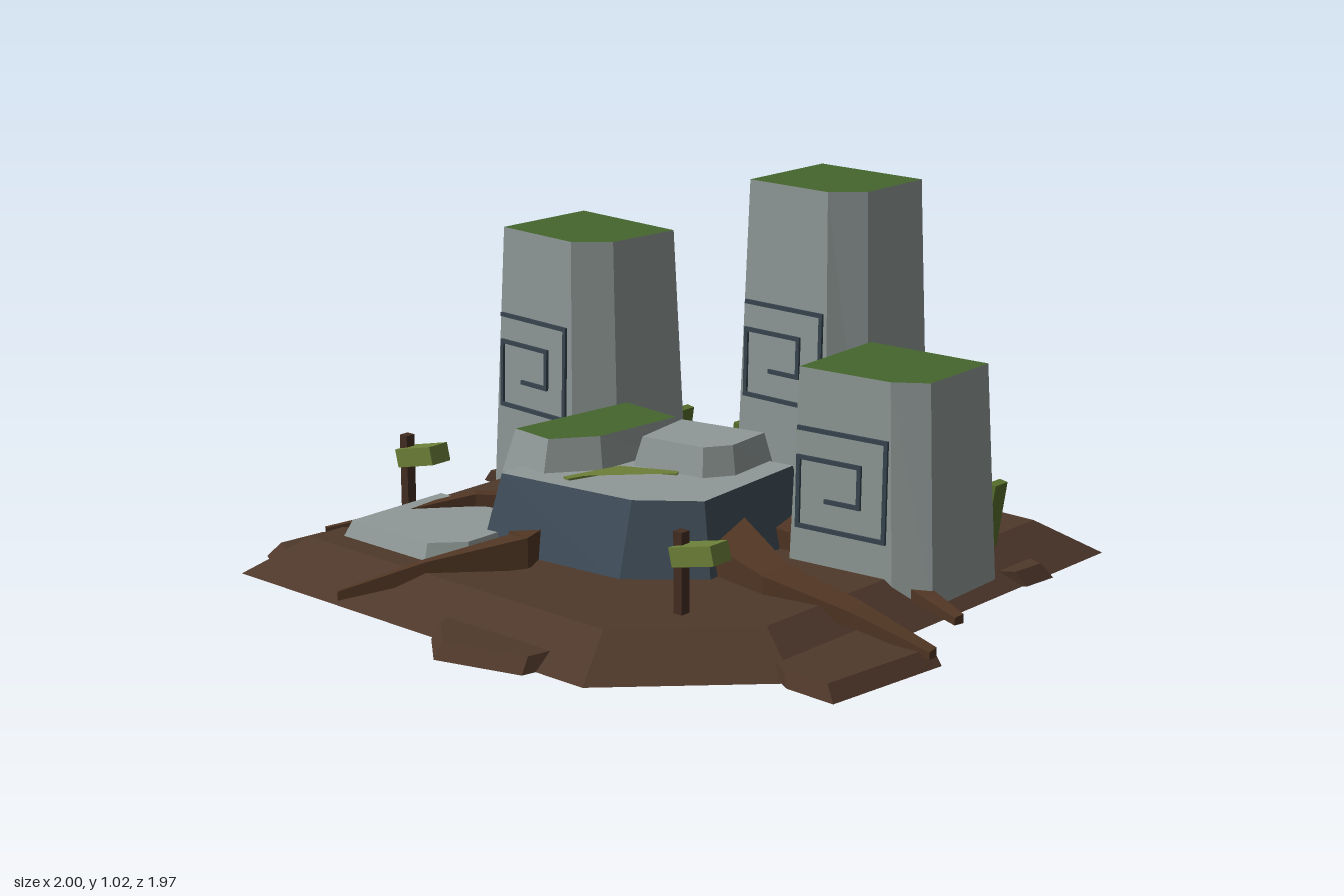
import * as THREE from 'three';

const mat = (name, color) => {
  const m = new THREE.MeshStandardMaterial({ color });
  m.name = name;
  return m;
};

// Loft through closed rings of points (wound so sides face outward), capped at both ends.
// Material group 0 is sides and first cap, group 1 the last cap.
function loft(rings) {
  const out = [], n = rings[0].length;
  const tri = (...pts) => pts.forEach(p => out.push(...p));
  for (let r = 0; r < rings.length - 1; r++) {
    const b = rings[r], t = rings[r + 1];
    for (let i = 0; i < n; i++) {
      const j = (i + 1) % n;
      tri(b[i], t[i], t[j]);
      tri(b[i], t[j], b[j]);
    }
  }
  const first = rings[0], last = rings[rings.length - 1];
  for (let i = 1; i < n - 1; i++) tri(first[0], first[i], first[i + 1]);
  const split = out.length / 3;
  for (let i = 1; i < n - 1; i++) tri(last[0], last[i + 1], last[i]);
  const g = new THREE.BufferGeometry();
  g.setAttribute('position', new THREE.Float32BufferAttribute(out, 3));
  g.addGroup(0, split, 0);
  g.addGroup(split, out.length / 3 - split, 1);
  g.computeVertexNormals();
  return g;
}

// Tapered block between a bottom outline and a top outline of [x, z] points.
function block(bottom, top, y0, y1) {
  const area = bottom.reduce((s, [x, z], i) => {
    const [u, v] = bottom[(i + 1) % bottom.length];
    return s + x * v - u * z;
  }, 0);
  const ring = (poly, y) => {
    const pts = poly.map(([x, z]) => [x, y, z]);
    return area < 0 ? pts.reverse() : pts;
  };
  return loft([ring(bottom, y0), ring(top, y1)]);
}

// Four-sided root along points [x, y, z, half width]; y is its upper surface.
function root(path) {
  return loft(path.map(([x, y, z, w], i) => {
    const a = path[Math.max(i - 1, 0)], b = path[Math.min(i + 1, path.length - 1)];
    const dx = b[0] - a[0], dz = b[2] - a[2], l = Math.hypot(dx, dz);
    const sx = -dz / l * w, sz = dx / l * w, h = w * 1.7;
    return [[x - sx, y, z - sz], [x + sx, y - w * 0.35, z + sz],
      [x + sx, y - h, z + sz], [x - sx, y - h, z - sz]].reverse();
  }));
}

export function createModel() {
  const model = new THREE.Group();
  const earth = mat('earth', 0x4f382b), bark = mat('bark', 0x513624), post = mat('postWood', 0x442e22);
  const stone = mat('stone', 0x8f9997), slate = mat('slate', 0x3f4d59), carving = mat('carving', 0x37444f);
  const grass = mat('grass', 0x45662d), olive = mat('olive', 0x6d8038), stalk = mat('stalk', 0x58702c);
  const add = (name, geo, m, parent = model) => {
    const mesh = new THREE.Mesh(geo, m);
    mesh.name = name;
    parent.add(mesh);
    return mesh;
  };

  // Ground with one cut corner
  add('ground', block(
    [[-0.87, -0.86], [0.8, -0.86], [0.8, 0.5], [0.43, 0.87], [-0.87, 0.87]],
    [[-0.74, -0.72], [0.66, -0.72], [0.66, 0.44], [0.37, 0.73], [-0.74, 0.73]], 0, 0.1), [earth, earth]);

  // Low shelves of earth around the rim
  [
    [[-0.93, -0.48], [-0.78, -0.45], [-0.78, -0.16], [-1, -0.19]],
    [[-0.5, -0.81], [-0.27, -0.99], [-0.13, -0.95], [-0.085, -0.85], [-0.1, -0.78]],
    [[0.74, 0.13], [1, 0.16], [0.96, 0.545], [0.81, 0.54], [0.7, 0.48]],
    [[-0.12, 0.82], [-0.1, 0.88], [0.015, 0.98], [0.26, 0.91], [0.28, 0.82]],
    [[-0.92, 0.58], [-0.82, 0.51], [-0.82, 0.79], [-0.935, 0.725]],
    [[0.76, -0.61], [0.82, -0.59], [0.81, -0.48], [0.75, -0.44]],
  ].forEach(poly => add('earthShelf', block(poly,
    poly.map(([x, z]) => [x * 0.965, z * 0.965]), 0, 0.04), [earth, earth]));

  // Stone pillars: outlines run back left, back right, chamfer, chamfer, front left
  const pillars = [
    { h: 0.83, mark: 0.57,
      b: [[-0.83, -0.465], [-0.39, -0.435], [-0.405, -0.155], [-0.505, -0.065], [-0.845, -0.085]],
      t: [[-0.8, -0.43], [-0.41, -0.4], [-0.43, -0.165], [-0.52, -0.085], [-0.81, -0.105]] },
    { h: 1.02, mark: 0.67,
      b: [[-0.14, -0.735], [0.28, -0.735], [0.28, -0.455], [0.195, -0.365], [-0.14, -0.365]],
      t: [[-0.11, -0.71], [0.25, -0.71], [0.25, -0.465], [0.17, -0.39], [-0.11, -0.39]] },
    { h: 0.635, mark: 0.47,
      b: [[0.335, -0.37], [0.76, -0.4], [0.775, -0.1], [0.685, -0.04], [0.36, -0.005]],
      t: [[0.36, -0.35], [0.735, -0.375], [0.745, -0.11], [0.66, -0.05], [0.38, -0.02]] },
  ];
  // Square spiral, as right and down offsets from its upper left corner
  const spiral = [[0, 0], [0.27, 0], [0.27, 0.27], [0, 0.27], [0, 0.08], [0.19, 0.08], [0.19, 0.19], [0.09, 0.19]];
  for (const { h, mark, b, t } of pillars) {
    add('pillar', block(b, t, 0.03, h), [stone, grass]);
    const k = (mark - 0.03) / (h - 0.03);
    const at = (i, f) => new THREE.Vector3(
      THREE.MathUtils.lerp(b[i][0], t[i][0], f), 0.03 + (h - 0.03) * f, THREE.MathUtils.lerp(b[i][1], t[i][1], f));
    const u = at(3, k).sub(at(4, k)).normalize();
    const n = u.clone().cross(at(4, 1).sub(at(4, 0))).normalize();
    const v = n.clone().cross(u);
    const carved = new THREE.Group();
    carved.name = 'spiralCarving';
    carved.applyMatrix4(new THREE.Matrix4().makeBasis(u, v, n)
      .setPosition(at(4, k).addScaledVector(u, 0.012).addScaledVector(n, 0.003)));
    for (let i = 0; i < spiral.length - 1; i++) {
      const [x0, y0] = spiral[i], [x1, y1] = spiral[i + 1];
      add('carvedLine', new THREE.BoxGeometry(Math.abs(x1 - x0) + 0.012, Math.abs(y1 - y0) + 0.012, 0.009), carving, carved)
        .position.set((x0 + x1) / 2, -(y0 + y1) / 2, 0);
    }
    model.add(carved);
  }

  // Central platform and the blocks on it
  add('platform', block(
    [[-0.405, -0.14], [0.28, -0.215], [0.325, 0.27], [0.14, 0.43], [-0.33, 0.475]],
    [[-0.36, -0.1], [0.24, -0.165], [0.275, 0.24], [0.125, 0.36], [-0.305, 0.415]], 0.08, 0.3), [slate, stone]);
  add('mossyBlock', block(
    [[-0.33, -0.135], [-0.1, -0.11], [-0.115, 0.215], [-0.215, 0.35], [-0.39, 0.33]],
    [[-0.32, -0.1], [-0.115, -0.08], [-0.14, 0.2], [-0.225, 0.315], [-0.365, 0.3]], 0.27, 0.39), [stone, grass]);
  add('smallBlock', block(
    [[-0.135, -0.115], [0.165, -0.17], [0.185, 0.01], [0.135, 0.09], [-0.09, 0.125]],
    [[-0.11, -0.1], [0.15, -0.15], [0.165, 0.0], [0.12, 0.07], [-0.075, 0.1]], 0.29, 0.38), [stone, stone]);
  add('mossStreak', block(
    [[-0.145, 0.34], [-0.1, 0.165], [0.055, 0.095], [0.065, 0.115], [-0.07, 0.18], [-0.12, 0.345]],
    [[-0.145, 0.34], [-0.1, 0.165], [0.055, 0.095], [0.065, 0.115], [-0.07, 0.18], [-0.12, 0.345]], 0.298, 0.306), [olive, olive]);
  add('frontSlab', block(
    [[-0.685, 0.285], [-0.265, 0.285], [-0.265, 0.575], [-0.35, 0.67], [-0.685, 0.67]],
    [[-0.66, 0.31], [-0.285, 0.31], [-0.285, 0.565], [-0.36, 0.645], [-0.66, 0.645]], 0.08, 0.145), [stone, stone]);

  // Roots spreading from the platform
  [
    [[-0.22, 0.17, 0.4, 0.055], [-0.14, 0.19, 0.52, 0.05], [-0.3, 0.13, 0.71, 0.03], [-0.46, 0.05, 0.88, 0.015]],
    [[-0.3, 0.18, 0.13, 0.06], [-0.53, 0.18, 0.3, 0.045], [-0.78, 0.1, 0.64, 0.015]],
    [[0.25, 0.22, 0.15, 0.075], [0.5, 0.165, 0.22, 0.045], [0.75, 0.11, 0.19, 0.03], [0.99, 0.05, 0.185, 0.015]],
    [[0, 0.2, -0.15, 0.075], [0, 0.16, -0.38, 0.06], [-0.06, 0.12, -0.68, 0.035], [-0.17, 0.06, -0.9, 0.015]],
    [[-0.2, 0.18, -0.08, 0.06], [-0.42, 0.15, -0.32, 0.045], [-0.63, 0.11, -0.7, 0.015]],
    [[0.25, 0.18, -0.1, 0.055], [0.55, 0.13, -0.13, 0.035], [0.89, 0.05, -0.06, 0.015]],
  ].forEach(p => add('root', root(p), bark));

  // Signposts
  for (const [x, z] of [[-0.725, 0.375], [0.435, 0.51]]) {
    add('signPost', new THREE.BoxGeometry(0.028, 0.24, 0.03), post).position.set(x, 0.2, z);
    const board = add('signBoard', new THREE.BoxGeometry(0.145, 0.052, 0.068), olive);
    board.position.set(x + 0.062, 0.272, z);
    board.rotation.z = 0.24;
  }

  // Clumps of stalks along the back
  for (const cx of [-0.72, -0.5, -0.27, 0.41, 0.64]) {
    const clump = new THREE.Group();
    clump.name = 'stalkClump';
    clump.position.set(cx, 0.09, -0.47);
    [0.1, 0.12, 0.14, 0.19].forEach((len, i) => {
      const geo = new THREE.BoxGeometry(0.026, len, 0.055).translate(0, len / 2, 0);
      const s = add('stalk', geo, stalk, clump);
      s.position.x = -0.062 + i * 0.034;
      s.rotation.z = 0.05 - i * 0.07;
    });
    model.add(clump);
  }
  return model;
}
